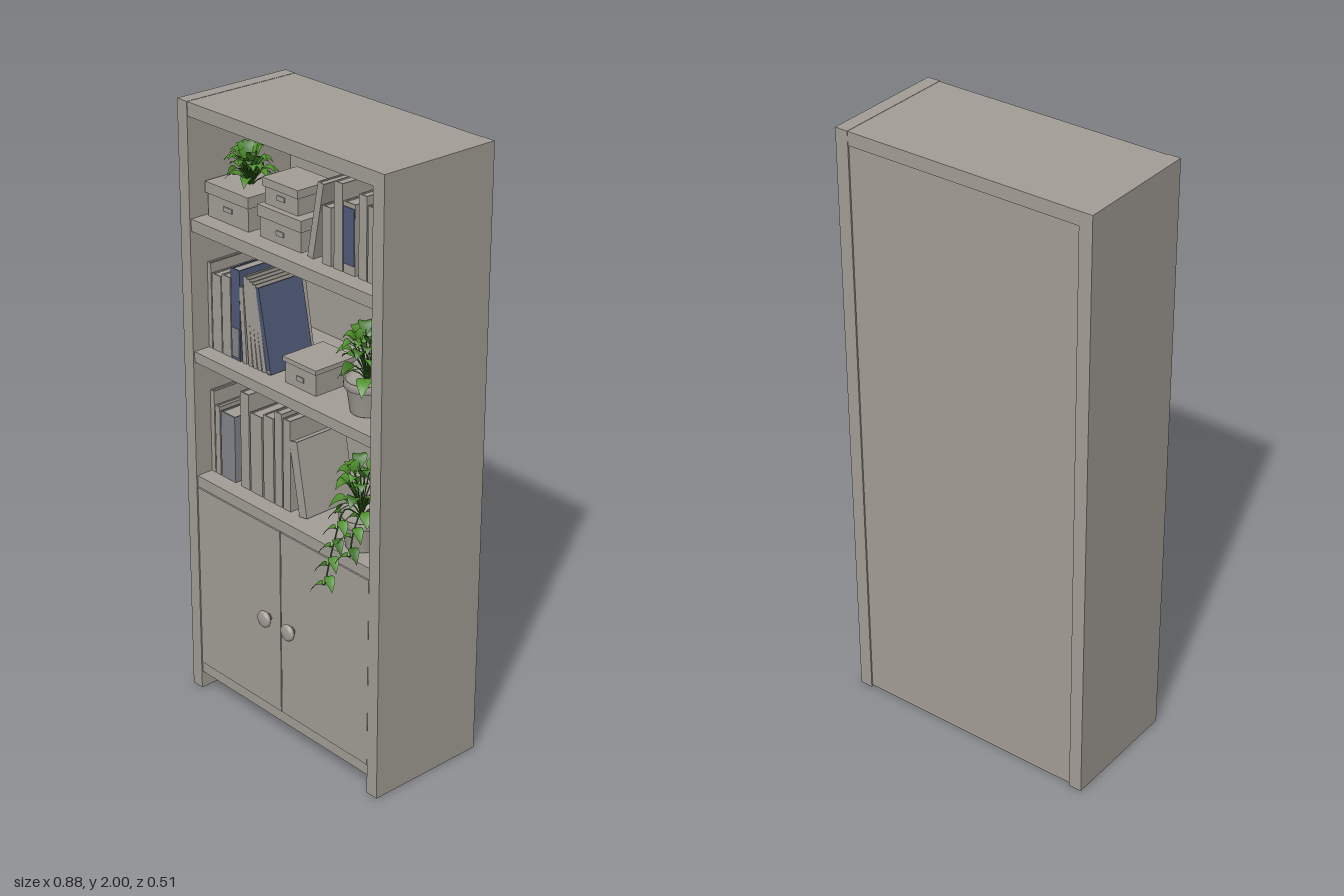
import * as THREE from 'three';

const mat = (name, color, side = THREE.FrontSide) => {
  const m = new THREE.MeshStandardMaterial({ color, side });
  m.name = name;
  return m;
};
const V = (x, y, z) => new THREE.Vector3(x, y, z);

export function createModel() {
  const wood = mat('warm grey', 0xa39e96);
  const blue = mat('slate blue', 0x4f5a78);
  const spineGrey = mat('blue grey', 0x83858b);
  const leafGreen = mat('leaf green', 0x4f8f2c, THREE.DoubleSide);
  const darkGreen = mat('dark green', 0x39701f, THREE.DoubleSide);

  const model = new THREE.Group();
  model.name = 'bookcase';
  const add = (parent, name, geo, m = wood) => {
    const mesh = new THREE.Mesh(geo, m);
    mesh.name = name;
    parent.add(mesh);
    return mesh;
  };
  const group = (name) => {
    const g = new THREE.Group();
    g.name = name;
    model.add(g);
    return g;
  };
  // box given by its limits on each axis
  const box = (parent, name, x0, x1, y0, y1, z0, z1, m) => {
    const b = add(parent, name, new THREE.BoxGeometry(x1 - x0, y1 - y0, z1 - z0), m);
    b.position.set((x0 + x1) / 2, (y0 + y1) / 2, (z0 + z1) / 2);
    return b;
  };

  // case: sides, back, top and shelves
  const frame = group('case');
  for (const s of [-1, 1]) {
    const x = [s * 0.397, s * 0.441].sort((a, b) => a - b);
    box(frame, s < 0 ? 'rightSide' : 'leftSide', x[0], x[1], 0, 2, -0.255, 0.162);
  }
  box(frame, 'backPanel', -0.397, 0.397, 0.005, 1.995, -0.25, -0.235);
  box(frame, 'topPanel', -0.397, 0.397, 1.955, 1.999, -0.254, 0.16);
  for (const [y0, y1] of [[0.06, 0.095], [0.742, 0.78], [1.17, 1.205], [1.597, 1.636]])
    box(frame, 'shelf', -0.397, 0.397, y0, y1, -0.236, 0.157);

  // cupboard doors with turned knobs
  const knobProfile = [[0, 0], [0.012, 0], [0.012, 0.012], [0.024, 0.013], [0.028, 0.019],
    [0.026, 0.027], [0.018, 0.03], [0, 0.031]].map(([x, y]) => new THREE.Vector2(x, y));
  const doors = group('doors');
  for (const s of [-1, 1]) {
    const x = [s * 0.002, s * 0.394].sort((a, b) => a - b);
    box(doors, 'door', x[0], x[1], 0.098, 0.74, 0.142, 0.16);
    const knob = add(doors, 'knob', new THREE.LatheGeometry(knobProfile, 24));
    knob.rotation.x = Math.PI / 2;
    knob.position.set(s * 0.055, 0.42, 0.16);
  }

  // books: [x0, x1, height, lean of the top, cover material]
  const books = (shelfY, rows) => {
    const g = group('books');
    rows.forEach(([x0, x1, h, lean = 0, cover = wood], i) => {
      const t = x1 - x0, d = 0.17 + 0.012 * (i % 3), c = Math.min(0.004, t / 5);
      const b = new THREE.Group();
      b.name = 'book';
      const front = 0.1, back = front - d;
      box(b, 'coverBoard', -t / 2, -t / 2 + c, 0, h, back, front, cover);
      box(b, 'coverBoard', t / 2 - c, t / 2, 0, h, back, front, cover);
      box(b, 'spine', -t / 2 + c, t / 2 - c, 0, h, front - c, front, cover);
      box(b, 'pages', -t / 2 + c, t / 2 - c, 0.004, h - 0.004, back + 0.005, front - c);
      const a = Math.asin(lean / h);
      b.rotation.z = -a;
      b.position.set((x0 + x1) / 2, shelfY + (t / 2) * Math.abs(Math.sin(a)), 0);
      g.add(b);
    });
    return g;
  };
  const topBooks = books(1.636, [
    [0.06, 0.084, 0.24, 0.045], [0.122, 0.16, 0.175], [0.172, 0.208, 0.26], [0.212, 0.26, 0.212],
    [0.275, 0.307, 0.25], [0.312, 0.345, 0.225], [0.353, 0.386, 0.235]]);
  box(topBooks, 'spineLabel', 0.213, 0.259, 1.665, 1.835, 0.1, 0.103, blue);
  const midBooks = [[-0.396, -0.38, 0.28], [-0.376, -0.334, 0.25], [-0.33, -0.29, 0.26],
    [-0.286, -0.246, 0.295, 0, blue], [-0.236, -0.218, 0.245, -0.012]];
  for (let i = 0; i < 5; i++)
    midBooks.push([-0.208 + i * 0.0215, -0.191 + i * 0.0215, 0.285 - 0.004 * i, -0.022 - i * 0.008, i === 4 ? blue : wood]);
  const mid = books(1.205, midBooks);
  box(mid, 'spineLabel', -0.283, -0.249, 1.215, 1.31, 0.1, 0.103, spineGrey);
  box(mid, 'lastSpine', -0.119, -0.108, 1.212, 1.222, 0.09, 0.1025);
  books(0.78, [
    [-0.396, -0.378, 0.28], [-0.374, -0.352, 0.235], [-0.347, -0.28, 0.225, 0, spineGrey],
    [-0.252, -0.212, 0.325], [-0.206, -0.152, 0.27], [-0.145, -0.098, 0.285], [-0.092, -0.058, 0.315],
    [-0.053, -0.02, 0.305], [0.02, 0.055, 0.245, -0.045]]);

  // lidded storage boxes
  const storage = (name, x0, x1, y0, y1, z0, z1, lid) => {
    const g = group(name);
    box(g, 'boxBody', x0 + 0.006, x1 - 0.006, y0, y1 - lid, z0 + 0.006, z1 - 0.006);
    box(g, 'lid', x0, x1, y1 - lid, y1, z0, z1);
    box(g, 'handle', (x0 + x1) / 2 - 0.016, (x0 + x1) / 2 + 0.016, y0 + 0.025, y0 + 0.04, z1 - 0.007, z1 - 0.002);
  };
  storage('lowerBox', -0.16, 0.032, 1.636, 1.736, -0.06, 0.1, 0.036);
  storage('upperBox', -0.155, 0.002, 1.736, 1.816, -0.05, 0.085, 0.026);
  storage('smallBox', -0.052, 0.095, 1.205, 1.29, -0.06, 0.1, 0.015);

  // open planter box on the top shelf
  const planter = group('planterBox');
  box(planter, 'planterBody', -0.385, -0.2, 1.636, 1.71, -0.06, 0.1);
  box(planter, 'planterRim', -0.391, -0.194, 1.71, 1.745, -0.066, 0.106);
  box(planter, 'planterHandle', -0.312, -0.272, 1.672, 1.686, 0.1, 0.104);

  // tapered round pots with a rim
  const potProfile = [[0, 0], [0.046, 0], [0.05, 0.004], [0.062, 0.082], [0.069, 0.083], [0.07, 0.106],
    [0.062, 0.106], [0.06, 0.092], [0, 0.092]].map(([x, y]) => new THREE.Vector2(x, y));
  const pot = (x, y, z) => add(model, 'pot', new THREE.LatheGeometry(potProfile, 32)).position.set(x, y, z);
  pot(0.262, 1.205, 0.05);
  pot(0.278, 0.78, 0.08);

  // leaf blade swept along the outer part of an arching curve, folded at the midrib
  const leaf = (g, base, ctrl, tip, width, start, m) => {
    const curve = new THREE.QuadraticBezierCurve3(base, ctrl, tip);
    const n = 6, pos = [], idx = [];
    const side = V(-(tip.z - base.z), 0, tip.x - base.x).normalize();
    for (let i = 0; i <= n; i++) {
      const u = i / n, p = curve.getPoint(start + (1 - start) * u);
      const w = width * Math.sin(Math.PI * Math.pow(u, 0.7));
      for (const k of [-1, 0, 1]) {
        const q = p.clone().addScaledVector(side, (k * w) / 2);
        pos.push(THREE.MathUtils.clamp(q.x, -0.393, 0.393), q.y + Math.abs(k) * w * 0.15, q.z);
      }
      if (i < n) for (const k of [0, 1]) {
        const a = i * 3 + k;
        idx.push(a, a + 1, a + 3, a + 1, a + 4, a + 3);
      }
    }
    const geo = new THREE.BufferGeometry();
    geo.setAttribute('position', new THREE.Float32BufferAttribute(pos, 3));
    geo.setIndex(idx);
    geo.computeVertexNormals();
    add(g, 'leaf', geo, m);
    const stem = new THREE.CatmullRomCurve3([0, 0.25, 0.5].map((t) => curve.getPoint(t * (start + 0.1) * 2)));
    add(g, 'stem', new THREE.TubeGeometry(stem, 5, 0.002, 5), darkGreen);
  };

  // plant: leaves fanned round a crown by the golden angle, outer ones drooping
  const plant = (name, c, count, reach, rise, droop, width, start) => {
    const g = group(name);
    for (let i = 0; i < count; i++) {
      const f = (i + 0.5) / count, a = i * 2.4 + 0.5;
      const r = reach * (0.35 + 0.65 * Math.sqrt(f)) * (0.88 + 0.12 * Math.sin(i * 5.3));
      const h = rise * (1 - f * f) - droop * f * f + 0.018 * Math.sin(i * 3.7);
      const dx = Math.cos(a) * r, dz = Math.sin(a) * r * 0.85;
      const tip = V(c.x + dx, c.y + h, c.z + dz);
      const ctrl = V(c.x + dx * 0.5, c.y + Math.max(h, 0) + rise * 0.45, c.z + dz * 0.5);
      leaf(g, c.clone(), ctrl, tip, width, start, i % 4 ? leafGreen : darkGreen);
    }
    return g;
  };
  plant('topPlant', V(-0.285, 1.735, 0.02), 32, 0.115, 0.105, 0.0, 0.036, 0.3);
  plant('middlePlant', V(0.262, 1.3, 0.05), 30, 0.132, 0.14, 0.02, 0.044, 0.42);
  const trailing = plant('trailingPlant', V(0.275, 0.875, 0.08), 24, 0.13, 0.155, 0.05, 0.046, 0.42);

  // vines hanging over the front of the lower pot
  const vines = [
    [V(0.275, 0.875, 0.08), V(0.27, 0.92, 0.14), V(0.265, 0.82, 0.18), V(0.275, 0.7, 0.225)],
    [V(0.275, 0.875, 0.08), V(0.32, 0.92, 0.13), V(0.335, 0.87, 0.17), V(0.345, 0.81, 0.19)]];
  vines.forEach((points, v) => {
    const path = new THREE.CatmullRomCurve3(points);
    add(trailing, 'vine', new THREE.TubeGeometry(path, 16, 0.0025, 5), darkGreen);
    for (let i = 0; i < 9 - v * 4; i++) {
      const p = path.getPoint(0.4 + (0.6 * i) / (8 - v * 4)), s = i % 2 ? 1 : -1;
      const tip = p.clone().add(V(s * 0.045, -0.035, 0.018));
      leaf(trailing, p, p.clone().add(V(s * 0.025, 0.008, 0.01)), tip, 0.034, 0.1, i % 3 ? leafGreen : darkGreen);
    }
  });
  return model;
}
